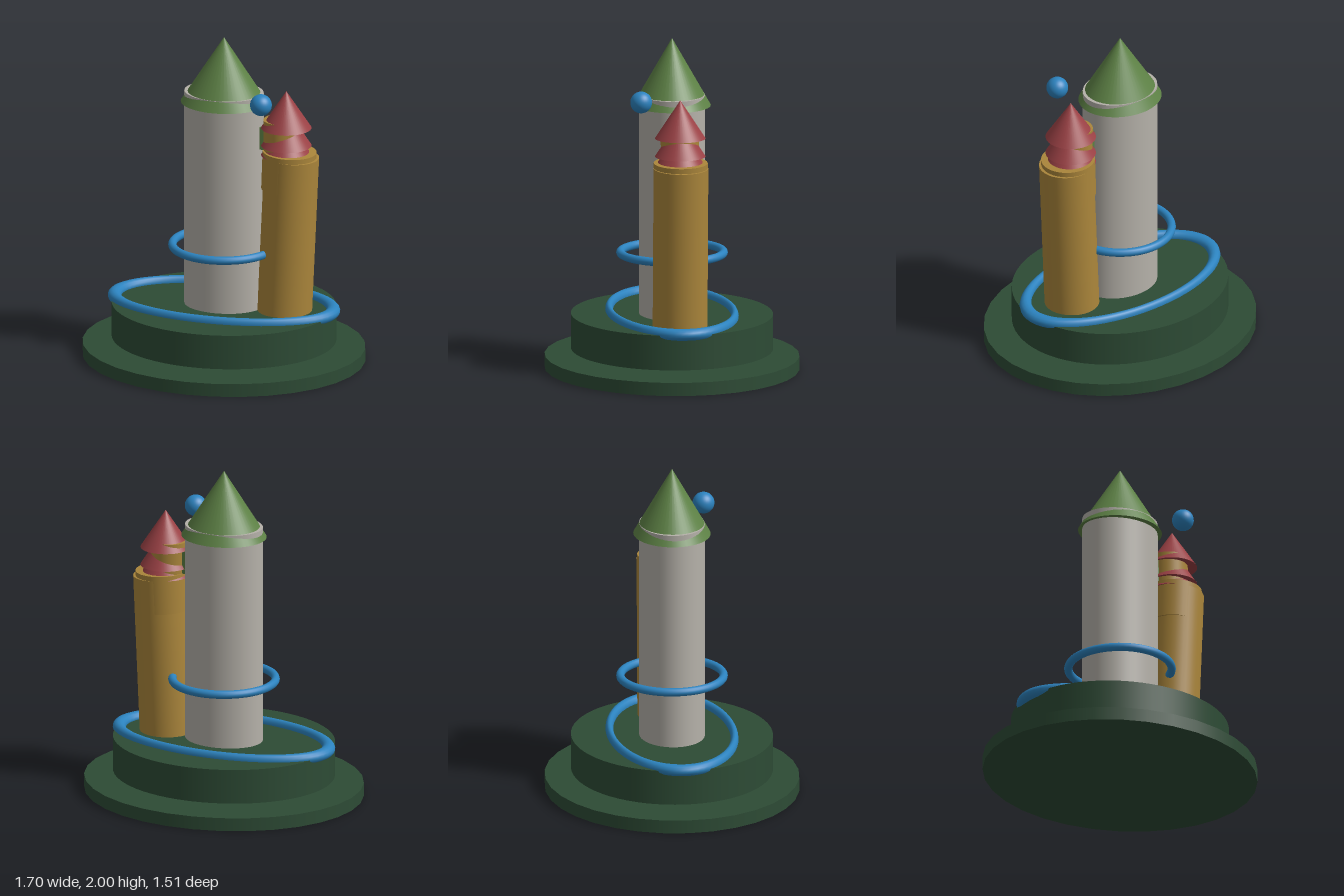
import * as THREE from 'three';

const mat = (name, color) => {
  const m = new THREE.MeshStandardMaterial({ color });
  m.name = name;
  return m;
};

export function createModel() {
  const model = new THREE.Group();
  model.name = 'twinTowers';
  const forest = mat('forest green', 0x2d4b35);
  const stone = mat('warm grey', 0xb5b1a9);
  const leaf = mat('leaf green', 0x5d8145);
  const gold = mat('ochre', 0xab863b);
  const red = mat('brick red', 0x9b4145);
  const blue = mat('blue', 0x2c83bf);

  const add = (name, geometry, material, x, y, z) => {
    const mesh = new THREE.Mesh(geometry, material);
    mesh.name = name;
    mesh.position.set(x, y, z);
    model.add(mesh);
    return mesh;
  };

  // Upright cylinder between two heights, oval in plan
  const drum = (name, material, x, y0, y1, rx, rz, sides = 48) => {
    const mesh = add(name, new THREE.CylinderGeometry(1, 1, y1 - y0, sides), material, x, (y0 + y1) / 2, 0);
    mesh.scale.set(rx, 1, rz);
    return mesh;
  };

  // Cone standing on y0, oval in plan
  const cone = (name, material, x, y0, y1, rx, rz) => {
    const mesh = add(name, new THREE.ConeGeometry(1, y1 - y0, 48), material, x, (y0 + y1) / 2, 0);
    mesh.scale.set(rx, 1, rz);
  };

  // Cylinder leaning from one x to another
  const leaning = (name, material, x0, y0, x1, y1, r) => {
    const length = Math.hypot(x1 - x0, y1 - y0);
    const mesh = add(name, new THREE.CylinderGeometry(r, r, length, 40), material, (x0 + x1) / 2, (y0 + y1) / 2, 0);
    mesh.rotation.z = -Math.atan2(x1 - x0, y1 - y0);
  };

  // Flat ring lying around the vertical axis
  const ring = (name, y, radius, tube) => {
    const geometry = new THREE.TorusGeometry(radius, tube, 14, 64).rotateX(Math.PI / 2);
    return add(name, geometry, blue, 0, y, 0);
  };

  // Stepped base
  drum('groundDisc', forest, 0, 0, 0.08, 0.85, 0.757, 32);
  drum('plinth', forest, 0, 0.12, 0.33, 0.675, 0.6, 64);

  // Large tower and roof
  drum('mainTower', stone, 0, 0.3, 1.66, 0.24, 0.195);
  cone('mainRoof', leaf, 0, 1.595, 2, 0.26, 0.23);
  add('sidePanel', new THREE.BoxGeometry(0.03, 0.14, 0.08), leaf, 0.245, 1.4, 0);

  // Leaning side tower
  leaning('sideTower', gold, 0.377, 0.3, 0.422, 1.295, 0.163);
  leaning('sideTowerCollar', gold, 0.4, 1.09, 0.409, 1.325, 0.161);
  leaning('sideTurret', gold, 0.366, 1.25, 0.363, 1.52, 0.113);

  // Stacked roofs of the side tower
  [[1.3, 1.53], [1.36, 1.59], [1.47, 1.7]].forEach(([y0, y1], i) =>
    cone(`sideRoof${i + 1}`, red, 0.388, y0, y1, 0.15, 0.15));

  // Blue rings and ball
  ring('towerRing', 0.7, 0.307, 0.025);
  ring('plinthRing', 0.335, 0.56, 0.035).scale.set(1.2, 1, 0.655);
  add('ball', new THREE.SphereGeometry(0.065, 32, 20), blue, 0.3, 1.675, 0.223);

  return model;
}
